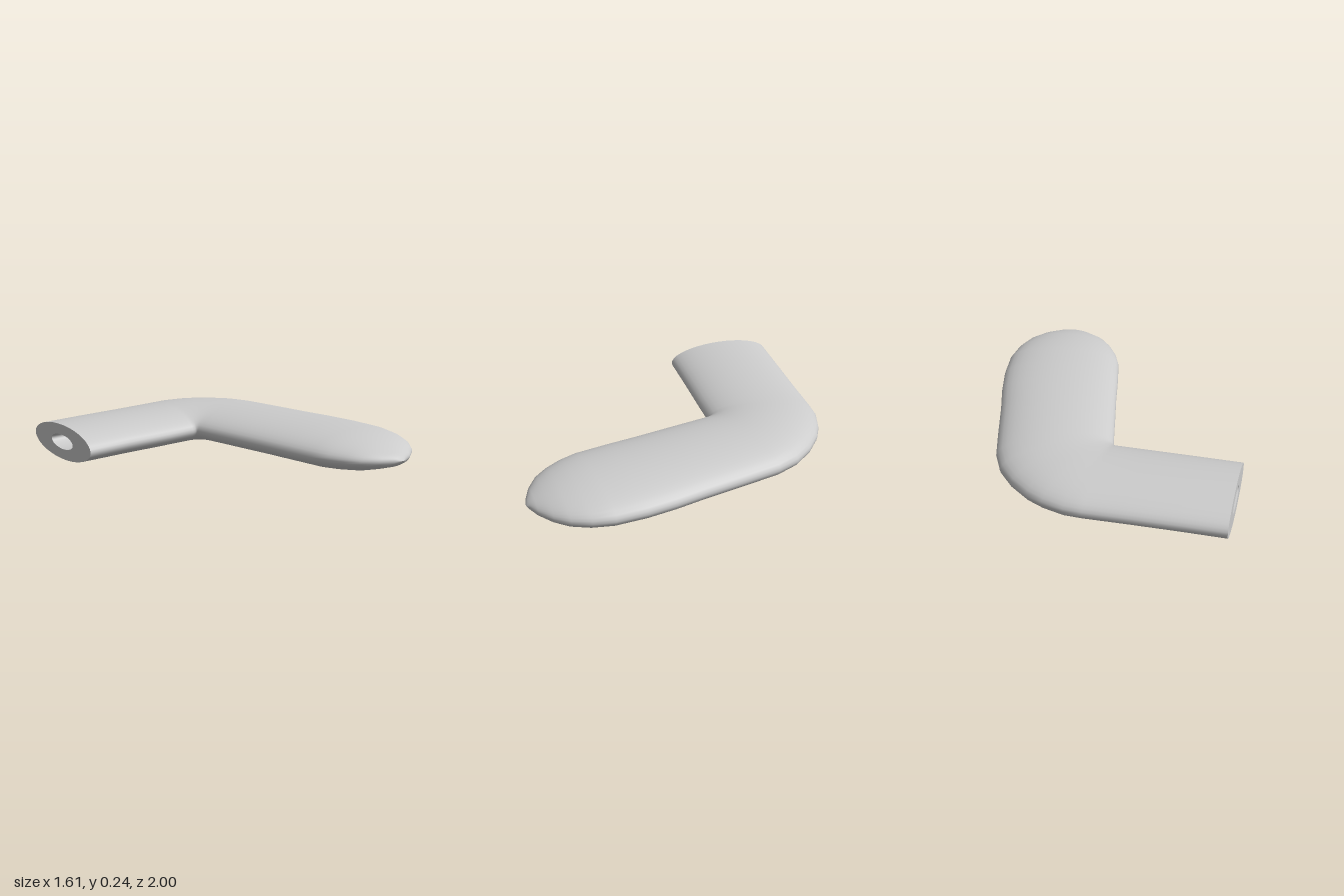
import * as THREE from 'three';

const SIDES = 40;

// Skin a row of flattened oval rings.
// Each ring: [outer x, outer z, inner x, inner z, centre y, half height]
function loft(rings) {
  const pos = [], idx = [];
  for (const [ox, oz, ix, iz, cy, h] of rings) {
    for (let j = 0; j < SIDES; j++) {
      const a = (j / SIDES) * Math.PI * 2, t = (1 + Math.cos(a)) / 2;
      pos.push(ix + (ox - ix) * t, cy + h * Math.sin(a), iz + (oz - iz) * t);
    }
  }
  for (let i = 0; i < rings.length - 1; i++) {
    for (let j = 0; j < SIDES; j++) {
      const k = (j + 1) % SIDES, a = i * SIDES, b = a + SIDES;
      idx.push(a + j, a + k, b + j, a + k, b + k, b + j);
    }
  }
  const geo = new THREE.BufferGeometry();
  geo.setAttribute('position', new THREE.Float32BufferAttribute(pos, 3));
  geo.setIndex(idx);
  geo.computeVertexNormals();
  return geo;
}

export function createModel() {
  const group = new THREE.Group();
  const material = new THREE.MeshStandardMaterial({ color: 0xcccccc });
  const add = (name, rings) => {
    const mesh = new THREE.Mesh(loft(rings), material);
    mesh.name = name;
    group.add(mesh);
  };

  const end = [-0.77, -1.0, -0.805, -0.345, 0.113, 0.109];
  const mouth = [-0.781, -0.8, -0.794, -0.55, 0.113, 0.045];

  // Bent, flattened body: straight arm, elbow, long arm, rounded tip
  add('body', [
    end,
    [-0.5, -0.985, -0.52, -0.33, 0.117, 0.109],
    [-0.2, -0.97, -0.23, -0.313, 0.119, 0.109],
    [0.05, -0.96, -0.05, -0.304, 0.121, 0.11],
    // elbow, fanning round the inner corner
    [0.16, -0.95, -0.036, -0.301, 0.123, 0.111],
    [0.29, -0.905, -0.031, -0.297, 0.125, 0.112],
    [0.39, -0.848, -0.028, -0.293, 0.126, 0.112],
    [0.5, -0.75, -0.026, -0.288, 0.127, 0.112],
    [0.59, -0.63, -0.024, -0.28, 0.128, 0.112],
    [0.645, -0.49, -0.021, -0.262, 0.128, 0.112],
    [0.685, -0.27, -0.012, -0.19, 0.128, 0.112],
    // long arm
    [0.73, 0.0, 0.012, 0.0, 0.128, 0.112],
    [0.77, 0.2, 0.038, 0.2, 0.128, 0.112],
    [0.795, 0.38, 0.06, 0.4, 0.128, 0.112],
    [0.8, 0.57, 0.088, 0.61, 0.127, 0.111],
    // rounded tip
    [0.775, 0.7, 0.12, 0.71, 0.126, 0.102],
    [0.725, 0.81, 0.17, 0.805, 0.125, 0.088],
    [0.66, 0.89, 0.23, 0.885, 0.124, 0.065],
    [0.57, 0.955, 0.32, 0.95, 0.122, 0.042],
    [0.5, 0.985, 0.4, 0.985, 0.12, 0.022],
    [0.47, 1.0, 0.45, 1.0, 0.12, 0],
  ]);

  // Flat cut end with an oval opening
  add('endFace', [mouth, end]);

  // Blind bore behind the opening
  const floor = [-0.53, -0.785, -0.54, -0.535, 0.115, 0.045];
  add('boreFloor', [[-0.535, -0.66, -0.535, -0.66, 0.115, 0], floor]);
  add('boreWall', [floor, mouth]);

  return group;
}
